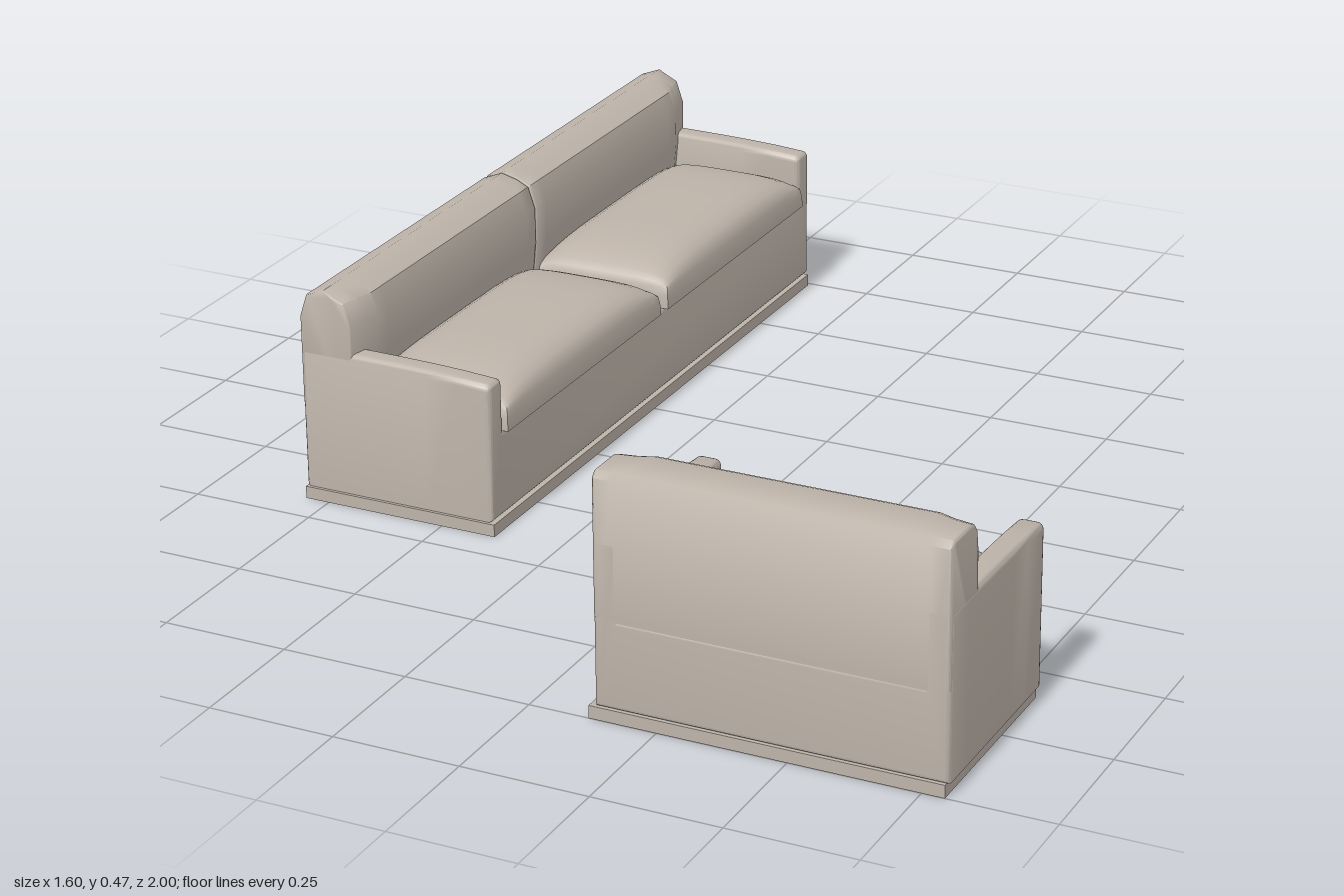
import * as THREE from 'three';
import { toCreasedNormals } from 'three/addons/utils/BufferGeometryUtils.js';

const fabric = new THREE.MeshStandardMaterial({ color: 0xbdb3a9 });
fabric.name = 'greigeFabric';

const DEPTH = 0.41, ARM = 0.05, SEAT = 0.2, FLOOR = 0.026;

function part(name, geometry, crease = 0.7) {
  const mesh = new THREE.Mesh(toCreasedNormals(geometry, crease), fabric);
  mesh.name = name;
  return mesh;
}

// Move every vertex of a geometry by a rule
function reshape(geometry, rule) {
  const pos = geometry.attributes.position, v = new THREE.Vector3();
  for (let i = 0; i < pos.count; i++) {
    rule(v.fromBufferAttribute(pos, i));
    pos.setXYZ(i, v.x, v.y, v.z);
  }
  return geometry;
}

// Extrusion with rounded ends that keeps its outline; starts at z = 0
function softExtrude(shape, length, bevel, steps) {
  return new THREE.ExtrudeGeometry(shape, {
    depth: length - 2 * bevel, steps, curveSegments: 4,
    bevelThickness: bevel, bevelSize: bevel, bevelOffset: -bevel, bevelSegments: 3,
  }).translate(0, 0, bevel);
}

// U-shaped body: seat base and both arms in one piece
function frame(width, armTop) {
  const h = width / 2, i = h - ARM, r = 0.014;
  const s = new THREE.Shape();
  s.moveTo(-h, FLOOR);
  s.lineTo(h, FLOOR);
  s.lineTo(h, armTop - r);
  s.quadraticCurveTo(h, armTop, h - r, armTop);
  s.lineTo(i + r, armTop);
  s.quadraticCurveTo(i, armTop, i, armTop - r);
  s.lineTo(i, SEAT);
  s.lineTo(-i, SEAT);
  s.lineTo(-i, armTop - r);
  s.quadraticCurveTo(-i, armTop, -i - r, armTop);
  s.lineTo(-h + r, armTop);
  s.quadraticCurveTo(-h, armTop, -h, armTop - r);
  s.closePath();
  // arms dip slightly toward the front
  return reshape(softExtrude(s, DEPTH, 0.009, 6), (v) => {
    if (v.y > armTop - 0.04) v.y -= 0.009 * Math.pow(v.z / DEPTH, 4);
  });
}

// Back rest section, slimmer where it meets the arms
function backRest(profile, length, centre, total) {
  const shape = new THREE.Shape(profile.map(([d, y]) => new THREE.Vector2(d, y)));
  const g = softExtrude(shape, length, 0.006, 20);
  g.rotateY(-Math.PI / 2).translate(centre + length / 2, 0, 0);
  return reshape(g, (v) => {
    const edge = total / 2 - Math.abs(v.x);
    if (v.z > 0.08) v.z -= 0.018 * (1 - THREE.MathUtils.smoothstep(edge, 0.02, 0.07));
  });
}

// Domed seat cushion
function cushion(width, front, peak) {
  const back = 0.11, depth = front - back, rim = 0.042;
  return reshape(new THREE.BoxGeometry(2, 1, 2, 18, 3, 14), (v) => {
    const u = Math.sin(v.x * Math.PI / 2), w = Math.sin(v.z * Math.PI / 2), t = v.y + 0.5;
    const dome = Math.sqrt(Math.max(0, (1 - u ** 4) * (1 - w ** 4)));
    v.x = u * (width / 2 - 0.006 * t * t);
    v.z = back + depth / 2 + w * (depth / 2 - 0.004 * t * t);
    v.y = SEAT - 0.002 + t * (rim + (peak - SEAT - rim) * dome);
  });
}

function seating(name, o) {
  const g = new THREE.Group();
  g.name = name;

  const plinth = part('plinth', new THREE.BoxGeometry(o.plinth, 0.025, o.plinthDepth));
  plinth.position.set(o.plinthShift, 0.0125, o.plinthDepth / 2);
  g.add(plinth, part('frame', frame(o.width, o.armTop)));

  // Solid lower back behind the cushions
  const lower = part('lowerBack', new THREE.BoxGeometry(o.width - 0.02, 0.1, 0.1));
  lower.position.set(0, 0.225, 0.051);
  g.add(lower);

  const backWidth = o.width / o.count;
  const pitch = (o.width - 2 * ARM + 0.03) / o.count;
  for (let k = 0; k < o.count; k++) {
    const side = k - (o.count - 1) / 2;
    const back = backRest(o.profile, backWidth - 0.001, side * backWidth, o.width);
    g.add(part('backRest', back, 0.8));
    const pad = part('seatCushion', cushion(pitch - 0.03, o.cushionFront, o.peak));
    pad.position.x = side * pitch;
    g.add(pad);
  }
  return g;
}

export function createModel() {
  const model = new THREE.Group();
  model.name = 'sofaSet';

  // Long sofa, facing +x
  const sofa = seating('sofa', {
    width: 1.42, count: 2, armTop: 0.317, peak: 0.292, cushionFront: 0.42,
    plinth: 1.415, plinthDepth: 0.415, plinthShift: -0.007,
    profile: [[0.12, 0.2], [0.13, 0.3], [0.13, 0.375], [0.115, 0.42], [0.09, 0.432],
      [0.055, 0.441], [0.015, 0.425], [0, 0.38], [0, 0.2]],
  });
  sofa.rotation.y = Math.PI / 2;
  sofa.position.set(-0.8, 0, -0.29);

  // Wide armchair, facing -z
  const chair = seating('armchair', {
    width: 0.67, count: 1, armTop: 0.35, peak: 0.31, cushionFront: 0.405,
    plinth: 0.675, plinthDepth: 0.405, plinthShift: 0.0095,
    profile: [[0.135, 0.2], [0.135, 0.33], [0.132, 0.42], [0.126, 0.455], [0.115, 0.469],
      [0.1, 0.475], [0.012, 0.475], [0, 0.463], [0, 0.2]],
  });
  chair.rotation.y = Math.PI;
  chair.position.set(0.465, 0, 1);

  model.add(sofa, chair);
  return model;
}
